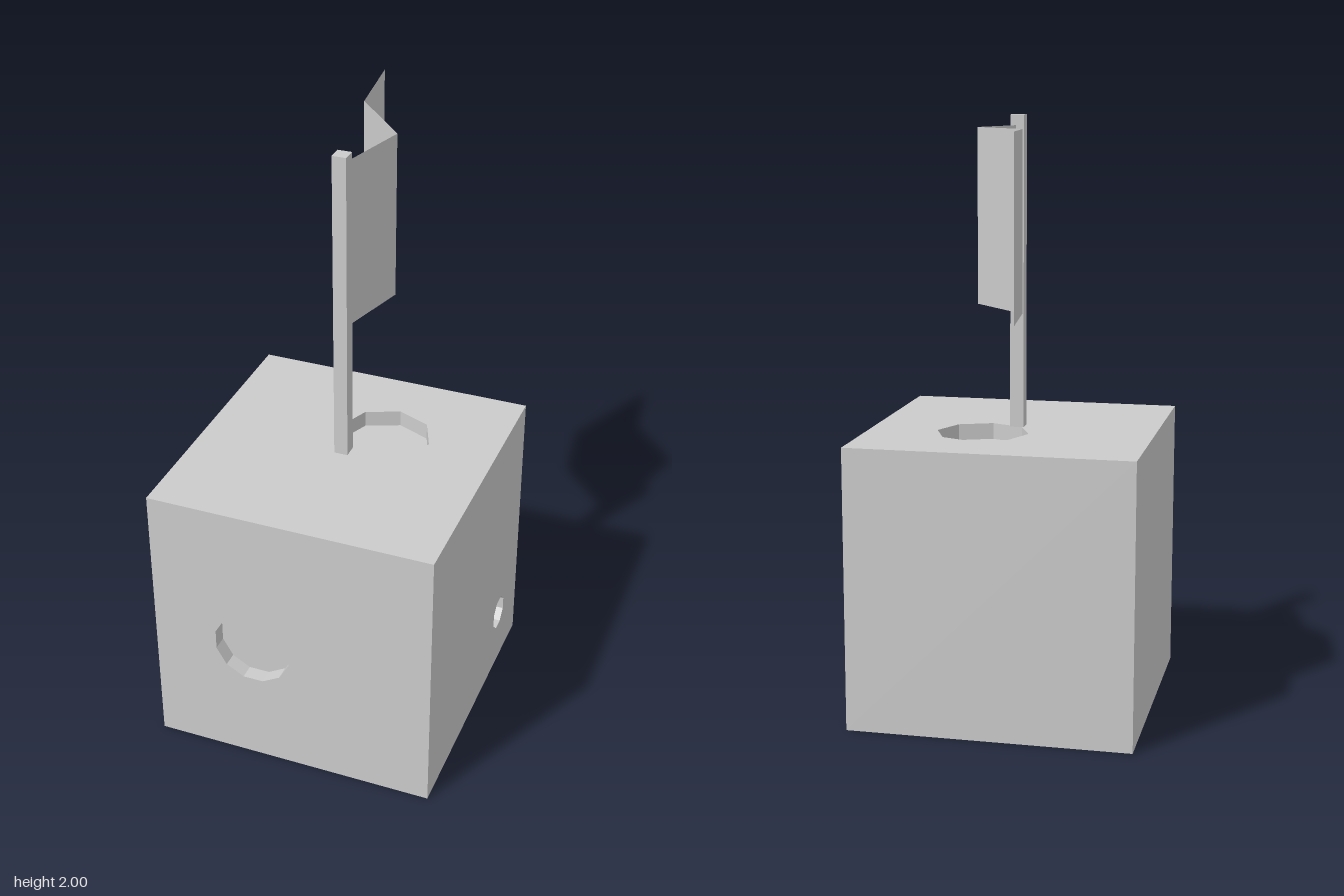
import * as THREE from 'three';

const SIZE = 0.955, HALF = SIZE / 2;
const material = new THREE.MeshStandardMaterial({ color: 0xcccccc, flatShading: true, side: THREE.DoubleSide });

function addMesh(parent, name, geometry) {
  const mesh = new THREE.Mesh(geometry, material);
  mesh.name = name;
  parent.add(mesh);
  return mesh;
}

// One square side of the cube, facing +z, optionally with a polygonal recess
function cubeSide(name, recess) {
  const side = new THREE.Group();
  side.name = name;
  const shape = new THREE.Shape([[-1, -1], [1, -1], [1, 1], [-1, 1]].map(
    ([x, y]) => new THREE.Vector2(x * HALF, y * HALF)));
  if (recess) {
    const { u, v, r, sides, phase, depth } = recess;
    const ring = [];
    for (let i = 0; i < sides; i++) {
      const a = phase - i * 2 * Math.PI / sides;
      ring.push(new THREE.Vector2(u + r * Math.cos(a), v + r * Math.sin(a)));
    }
    shape.holes.push(new THREE.Path(ring));
    const wall = new THREE.CylinderGeometry(r, r, depth, sides, 1, true, phase + Math.PI / 2);
    addMesh(side, 'recessWall', wall.rotateX(Math.PI / 2)).position.set(u, v, HALF - depth / 2);
    addMesh(side, 'recessFloor', new THREE.CircleGeometry(r, sides, phase)).position.set(u, v, HALF - depth);
  }
  addMesh(side, 'panel', new THREE.ShapeGeometry(shape)).position.z = HALF;
  return side;
}

// Folded sheet standing upright along a zigzag of [x, z] points
function foldedSheet(points, bottom, top) {
  const vertices = [], index = [];
  points.forEach(([x, z], i) => {
    vertices.push(x, bottom, z, x, top, z);
    const a = i * 2;
    if (i < points.length - 1) index.push(a, a + 2, a + 1, a + 1, a + 2, a + 3);
  });
  const geometry = new THREE.BufferGeometry();
  geometry.setAttribute('position', new THREE.Float32BufferAttribute(vertices, 3));
  geometry.setIndex(index);
  geometry.computeVertexNormals();
  return geometry;
}

export function createModel() {
  const model = new THREE.Group();
  model.name = 'flaggedCube';

  // Cube with recesses in the front, left and top
  const cube = new THREE.Group();
  cube.name = 'cube';
  cube.position.set(-0.0025, HALF, 0.1475);
  const front = cubeSide('front', { u: -0.133, v: -0.03, r: 0.132, sides: 12, phase: Math.PI / 12, depth: 0.05 });
  const left = cubeSide('leftSide', { u: 0.27, v: -0.263, r: 0.06, sides: 8, phase: Math.PI / 8, depth: 0.12 });
  const top = cubeSide('top', { u: 0.0925, v: 0.1325, r: 0.156, sides: 8, phase: 0, depth: 0.055 });
  const back = cubeSide('back');
  const right = cubeSide('rightSide');
  const bottom = cubeSide('bottom');
  left.rotation.y = Math.PI / 2;
  right.rotation.y = -Math.PI / 2;
  back.rotation.y = Math.PI;
  top.rotation.x = -Math.PI / 2;
  bottom.rotation.x = Math.PI / 2;
  cube.add(front, left, top, back, right, bottom);
  model.add(cube);

  // Square pole standing beside the top recess
  const poleHeight = 2 - SIZE;
  addMesh(model, 'pole', new THREE.BoxGeometry(0.046, poleHeight, 0.048))
    .position.set(-0.003, SIZE + poleHeight / 2, 0.148);

  // Flag folded in three panels, flying towards the back
  const folds = [[0, 0.126], [0.07, -0.13], [-0.12, -0.34], [-0.155, -0.622]];
  addMesh(model, 'flag', foldedSheet(folds, 1.405, 1.965));

  return model;
}
